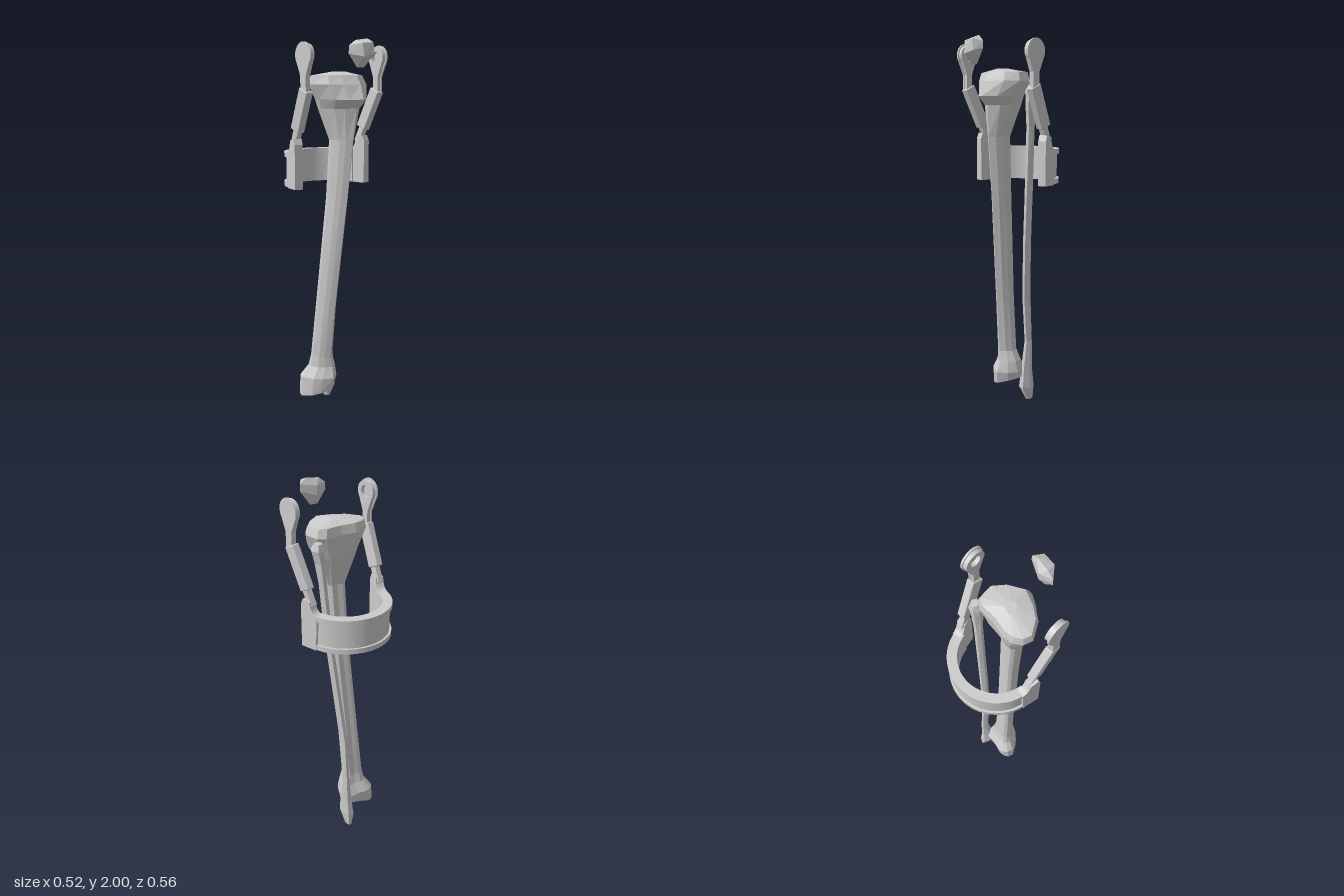
import * as THREE from 'three';
import { RoundedBoxGeometry } from 'three/addons/geometries/RoundedBoxGeometry.js';
import { ConvexGeometry } from 'three/addons/geometries/ConvexGeometry.js';

const boneMaterial = new THREE.MeshStandardMaterial({ color: 0xcccccc, flatShading: true });
const braceMaterial = new THREE.MeshStandardMaterial({ color: 0xcccccc });

function addMesh(parent, name, geometry, material) {
  const mesh = new THREE.Mesh(geometry, material);
  mesh.name = name;
  parent.add(mesh);
}

// Faceted loft: outline is a unit polygon, each ring is [y, x0, x1, z0, z1, sideTilt], top to bottom
function loft(outline, rings) {
  const n = outline.length, positions = [], index = [];
  for (const [y, x0, x1, z0, z1, tilt = 0] of rings) {
    for (const [u, v] of outline) {
      positions.push((x0 + x1) / 2 + u * (x1 - x0) / 2, y + tilt * u, (z0 + z1) / 2 + v * (z1 - z0) / 2);
    }
  }
  for (let r = 0; r < rings.length - 1; r++) {
    for (let i = 0; i < n; i++) {
      const a = r * n + i, b = r * n + (i + 1) % n;
      index.push(a, b, b + n, a, b + n, a + n);
    }
  }
  const last = (rings.length - 1) * n, top = rings.length * n;
  for (const [y, x0, x1, z0, z1] of [rings[0], rings[rings.length - 1]]) {
    positions.push((x0 + x1) / 2, y, (z0 + z1) / 2);
  }
  for (let i = 0; i < n; i++) {
    const j = (i + 1) % n;
    index.push(top, j, i, top + 1, last + i, last + j);
  }
  const g = new THREE.BufferGeometry();
  g.setAttribute('position', new THREE.Float32BufferAttribute(positions, 3));
  g.setIndex(index);
  const flat = g.toNonIndexed();
  flat.computeVertexNormals();
  return flat;
}

// Mirror across x = 0, reversing the corner order
function mirrored(geometry) {
  const g = geometry.index ? geometry.toNonIndexed() : geometry.clone();
  g.scale(-1, 1, 1);
  const n = g.attributes.position.count;
  g.setIndex(Array.from({ length: n }, (_, i) => n - 1 - i));
  return g;
}

// Side profile in (-z, y), extruded from x0 to x1
function sidePlate(shape, x0, x1) {
  return new THREE.ExtrudeGeometry(shape, { depth: x1 - x0, bevelEnabled: false, curveSegments: 20 })
    .rotateY(Math.PI / 2).translate(x0, 0, 0);
}

// Curved calf band, extruded upwards from y0 to y1
function calfBand(outer, inner, y0, y1) {
  const s = new THREE.Shape();
  s.absarc(0, 0.04, outer, 0.15, Math.PI - 0.15, false);
  s.absarc(0, 0.04, inner, Math.PI - 0.15, 0.15, true);
  return new THREE.ExtrudeGeometry(s, { depth: y1 - y0, bevelEnabled: false, curveSegments: 40 })
    .rotateX(-Math.PI / 2).translate(0, y0, 0);
}

// Round hinge head with a tail running down into the strut
function hingeShape(radius, halfNeck) {
  const cx = -0.07, cy = 1.92, s = new THREE.Shape();
  s.moveTo(cx - halfNeck, 1.74);
  s.lineTo(cx + halfNeck, 1.74);
  s.lineTo(cx + halfNeck, 1.82);
  s.lineTo(cx + radius * 0.82, cy - radius * 0.57);
  s.absarc(cx, cy, radius, -0.61, Math.PI + 0.61, false);
  s.lineTo(cx - halfNeck, 1.82);
  return s;
}

function createBones() {
  const bones = new THREE.Group();
  bones.name = 'bones';

  const shinOutline = [[-1, -0.36], [-0.9, -0.74], [-0.65, -0.96], [-0.33, -1], [0.17, -0.85], [0.75, -0.81],
    [0.97, -0.58], [1, 0.1], [0.68, 0.62], [0.17, 1], [-0.33, 0.7], [-0.71, 0.32]];
  addMesh(bones, 'shinBone', loft(shinOutline, [
    [1.845, -0.04, 0.03, 0.02, 0.08],
    [1.825, -0.155, 0.135, -0.045, 0.16],
    [1.78, -0.165, 0.15, -0.055, 0.185],
    [1.705, -0.13, 0.118, -0.045, 0.213],
    [1.66, -0.112, 0.098, -0.035, 0.165],
    [1.5, -0.063, 0.045, 0.01, 0.15],
    [1.2, -0.066, 0.032, -0.01, 0.118],
    [0.6, -0.097, 0.003, -0.06, 0.053],
    [0.3, -0.115, 0, -0.085, 0.025],
    [0.24, -0.125, 0.025, -0.1, 0.03],
    [0.18, -0.165, 0.037, -0.135, 0.05],
    [0.105, -0.172, 0.03, -0.13, 0.035, -0.0 + 0.035],
  ]), boneMaterial);

  const calfOutline = [[-1, -0.2], [-0.4, -1], [0.6, -0.9], [1, 0.1], [0.5, 1], [-0.6, 0.8]];
  addMesh(bones, 'calfBone', loft(calfOutline, [
    [1.765, 0.13, 0.17, -0.04, 0],
    [1.73, 0.115, 0.183, -0.047, 0.02],
    [1.66, 0.115, 0.163, -0.047, 0.012],
    [1.55, 0.11, 0.15, -0.048, -0.004],
    [1.2, 0.085, 0.122, -0.066, -0.02],
    [0.9, 0.055, 0.092, -0.087, -0.04],
    [0.6, 0.03, 0.066, -0.115, -0.065],
    [0.35, 0.03, 0.063, -0.13, -0.085],
    [0.18, 0.012, 0.065, -0.137, -0.068],
    [0.08, 0, 0.07, -0.15, -0.06],
    [0, 0.027, 0.055, -0.147, -0.1],
  ]), boneMaterial);

  // Kneecap as a convex faceted pebble
  const rim = [[-0.05, 1.99], [0.02, 2], [0.055, 1.97], [0.055, 1.935], [0, 1.86], [-0.04, 1.86], [-0.088, 1.925], [-0.085, 1.965]];
  const points = rim.map(([x, y]) => new THREE.Vector3(x, y, 0.228 + x * 0.15));
  for (const [x, y, z] of [[-0.045, 1.975, 0.268], [0.02, 1.98, 0.275], [0.025, 1.925, 0.276], [-0.04, 1.91, 0.276],
    [-0.02, 1.96, 0.197], [-0.02, 1.91, 0.199], [-0.07, 1.94, 0.208]]) {
    points.push(new THREE.Vector3(x, y, z));
  }
  addMesh(bones, 'kneecap', new ConvexGeometry(points), boneMaterial);
  return bones;
}

function createBrace() {
  const brace = new THREE.Group();
  brace.name = 'brace';

  // Calf band with raised upper and lower rims
  addMesh(brace, 'calfBand', calfBand(0.229, 0.19, 1.27, 1.42), braceMaterial);
  addMesh(brace, 'lowerRim', calfBand(0.24, 0.19, 1.253, 1.28), braceMaterial);
  addMesh(brace, 'upperRim', calfBand(0.24, 0.19, 1.408, 1.435), braceMaterial);

  // Upright at the end of the band, turned slightly outwards
  const upright = new THREE.Shape();
  upright.moveTo(0, 1.25);
  upright.lineTo(0.09, 1.25);
  upright.lineTo(0.1, 1.435);
  upright.quadraticCurveTo(0.062, 1.44, 0.056, 1.5);
  upright.lineTo(0.012, 1.51);
  upright.lineTo(0, 1.48);
  const uprightGeometry = sidePlate(upright, -0.022, 0.023)
    .translate(0, 0, 0.08).rotateY(0.2).translate(0.216, 0, -0.08);

  // Hinge: solid outer cover and a hollow inner ring
  const ring = hingeShape(0.055, 0.018);
  ring.holes.push(new THREE.Path().absarc(-0.07, 1.92, 0.03, 0, Math.PI * 2, true));

  const leaning = (geometry, x, y, z) =>
    geometry.rotateX(0.434).rotateZ(-0.07).translate(x, y, z);

  const parts = {
    Upright: uprightGeometry,
    StrutNeck: leaning(new THREE.BoxGeometry(0.03, 0.11, 0.036), 0.222, 1.525, -0.03),
    Strut: leaning(new RoundedBoxGeometry(0.043, 0.225, 0.066, 2, 0.006), 0.231, 1.652, 0.024),
    HingeRing: sidePlate(ring, 0.226, 0.246),
    HingeCover: sidePlate(hingeShape(0.062, 0.022), 0.246, 0.256),
  };
  for (const [name, geometry] of Object.entries(parts)) {
    addMesh(brace, 'left' + name, geometry, braceMaterial);
    addMesh(brace, 'right' + name, mirrored(geometry), braceMaterial);
  }
  return brace;
}

export function createModel() {
  const model = new THREE.Group();
  model.name = 'braceAndLegBones';
  model.add(createBones(), createBrace());
  return model;
}
